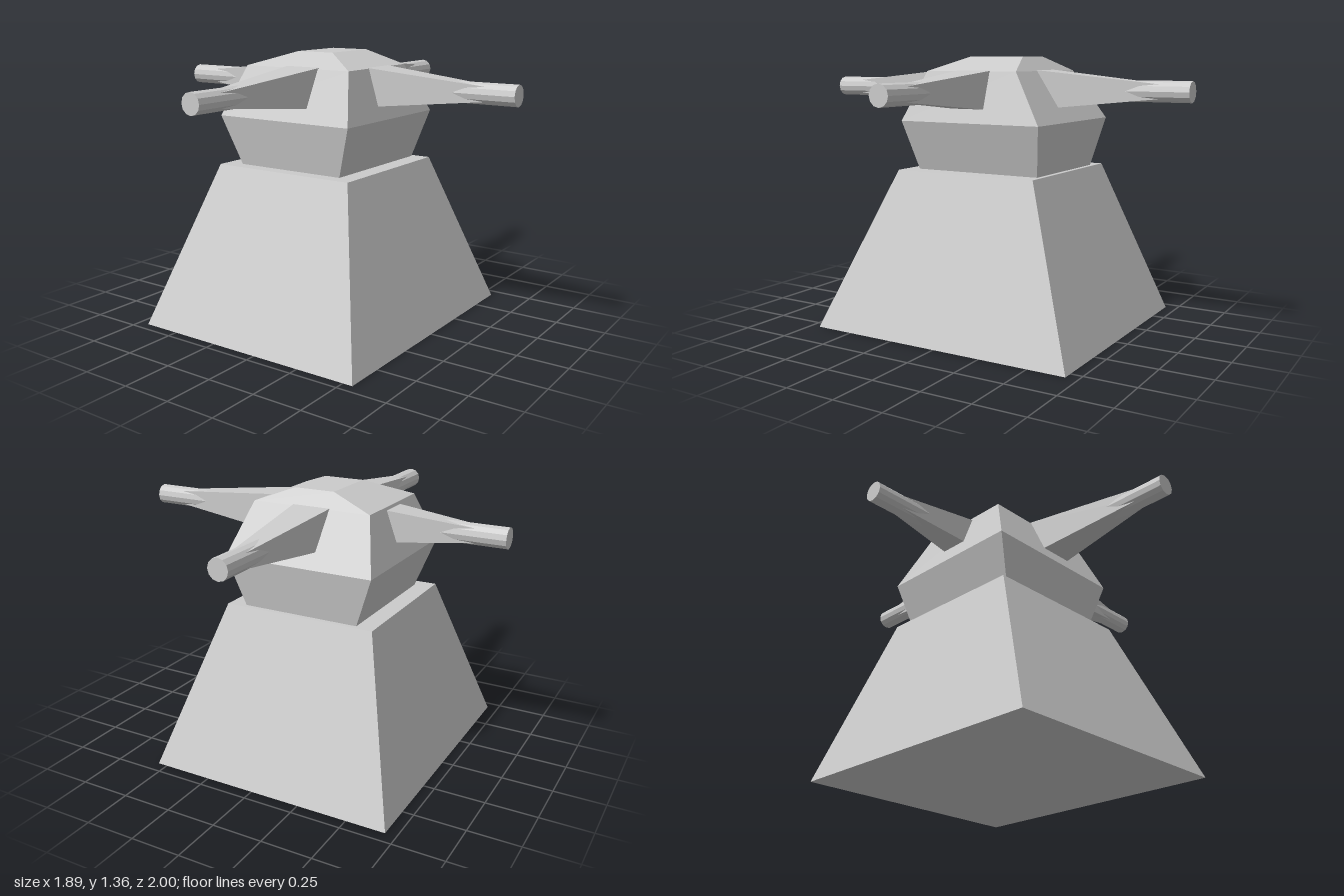
import * as THREE from 'three';

const material = new THREE.MeshStandardMaterial({ color: 0xcccccc, flatShading: true });

// Closed solid through stacked rectangles, each given as [y, x0, x1, z0, z1]
function rectLoft(levels) {
  const rings = levels.map(([y, x0, x1, z0, z1]) => [
    [x0, y, z1], [x1, y, z1], [x1, y, z0], [x0, y, z0],
  ]);
  const pos = [];
  const quad = (a, b, c, d) => pos.push(...a, ...b, ...c, ...a, ...c, ...d);
  for (let i = 0; i < rings.length - 1; i++) {
    const lo = rings[i], hi = rings[i + 1];
    for (let k = 0; k < 4; k++) {
      const n = (k + 1) % 4;
      quad(lo[k], lo[n], hi[n], hi[k]);
    }
  }
  const bottom = rings[0], top = rings[rings.length - 1];
  quad(top[0], top[1], top[2], top[3]);
  quad(bottom[3], bottom[2], bottom[1], bottom[0]);
  const geo = new THREE.BufferGeometry();
  geo.setAttribute('position', new THREE.Float32BufferAttribute(pos, 3));
  geo.computeVertexNormals();
  return geo;
}

function part(name, geometry) {
  const mesh = new THREE.Mesh(geometry, material);
  mesh.name = name;
  return mesh;
}

// Gun pointing along +z with its muzzle at the origin
function makeGun(name, x, z, angle) {
  const gun = new THREE.Group();
  gun.name = name;
  const sleeve = rectLoft([
    [-0.8, -0.1, 0.1, -0.1, 0.1],
    [-0.1, -0.029, 0.029, -0.029, 0.029],
  ]).rotateX(Math.PI / 2);
  const barrel = new THREE.CylinderGeometry(0.05, 0.05, 0.31, 12)
    .rotateX(Math.PI / 2).translate(0, 0, -0.155);
  gun.add(part('gunSleeve', sleeve), part('gunBarrel', barrel));
  gun.position.set(x, 1.2, z);
  gun.rotation.y = angle;
  return gun;
}

export function createModel() {
  const model = new THREE.Group();
  model.name = 'gunTower';

  // Tapered pedestal
  model.add(part('pedestal', rectLoft([
    [0, -0.695, 0.55, -0.69, 0.7],
    [0.8, -0.47, 0.3, -0.39, 0.37],
  ])));

  // Faceted turret: flared waist, sloped shoulders, low roof
  model.add(part('turret', rectLoft([
    [0.8, -0.38, 0.21, -0.365, 0.305],
    [1.045, -0.47, 0.29, -0.41, 0.355],
    [1.29, -0.385, 0.22, -0.255, 0.245],
    [1.36, -0.17, 0.035, -0.19, 0.11],
  ])));

  // Four guns, one per side
  model.add(
    makeGun('frontGun', -0.05, 1, 0),
    makeGun('backGun', -0.085, -1, Math.PI),
    makeGun('leftGun', 0.945, -0.02, Math.PI / 2),
    makeGun('rightGun', -0.95, -0.01, -Math.PI / 2),
  );
  return model;
}
